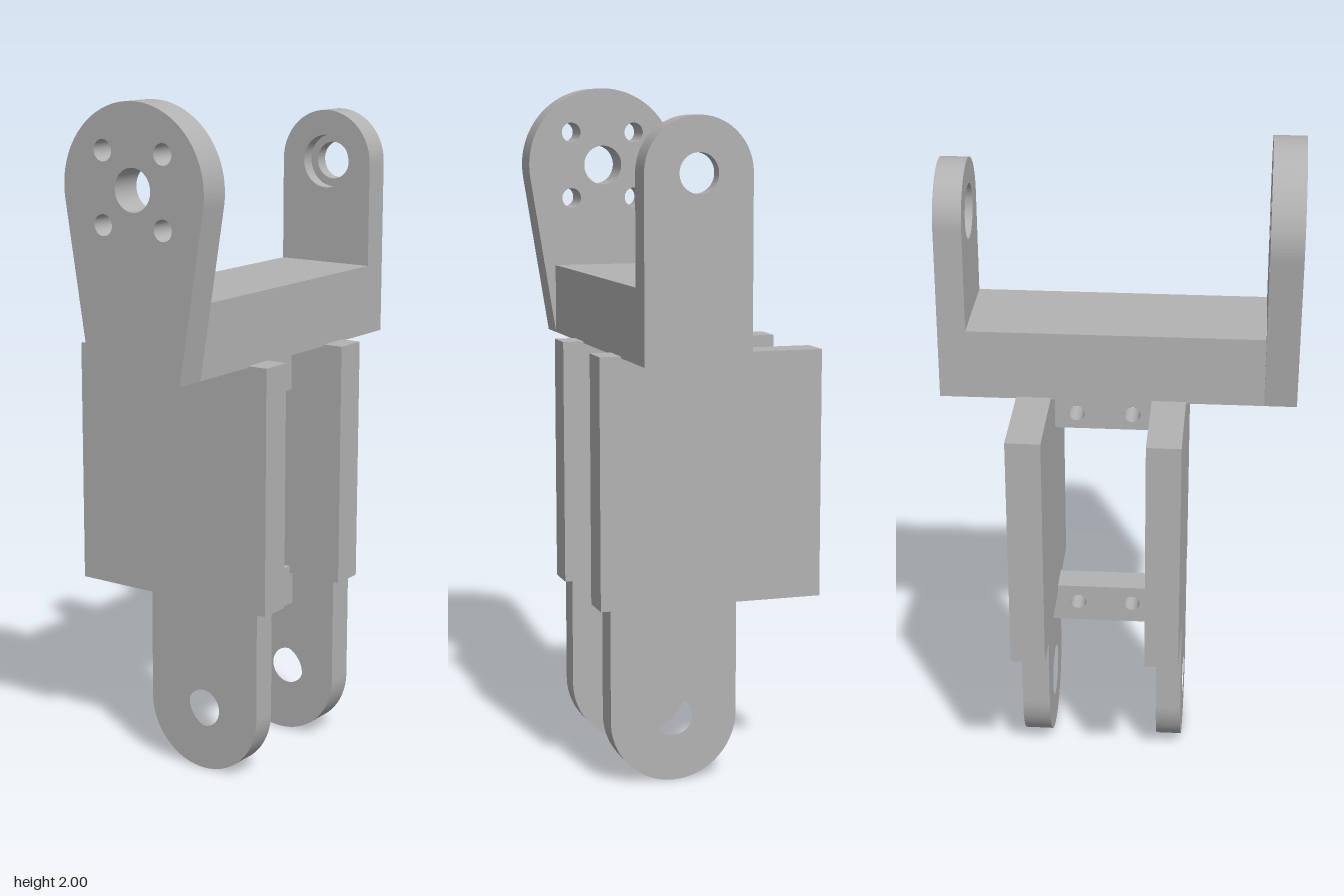
import * as THREE from 'three';

const CX = 0.105;      // centre line of the bracket arms
const PIVOT_TOP = 1.764;
const PIVOT_LOW = 0.193;

export function createModel() {
  const model = new THREE.Group();
  model.name = 'servoBracket';
  const grey = new THREE.MeshStandardMaterial({ color: 0xb2b2b2 });
  grey.name = 'plainGrey';

  function add(name, geometry) {
    const mesh = new THREE.Mesh(geometry, grey);
    mesh.name = name;
    model.add(mesh);
    return mesh;
  }

  function box(name, x0, x1, y0, y1, z0, z1) {
    add(name, new THREE.BoxGeometry(x1 - x0, y1 - y0, z1 - z0))
      .position.set((x0 + x1) / 2, (y0 + y1) / 2, (z0 + z1) / 2);
  }

  // Flat slab in the xy plane with round holes given as [x, y, radius]
  function slab(name, shape, holes, z0, z1) {
    for (const [x, y, r] of holes) {
      shape.holes.push(new THREE.Path().absarc(x, y, r, 0, Math.PI * 2, true));
    }
    const geometry = new THREE.ExtrudeGeometry(shape, { depth: z1 - z0, bevelEnabled: false, curveSegments: 40 });
    add(name, geometry).position.z = z0;
  }

  // Tongue with a rounded end: straight edge at yFlat, round end about yRound
  function tongue(yFlat, yRound, r) {
    const s = new THREE.Shape();
    const up = yRound > yFlat;
    s.moveTo(CX - r, yFlat);
    s.lineTo(CX + r, yFlat);
    s.absarc(CX, yRound, r, 0, up ? Math.PI : -Math.PI, !up);
    s.closePath();
    return s;
  }

  // Tongue in two layers, so the bore widens towards the inside of the bracket
  function steppedTongue(name, yFlat, yRound, r, zOuter, zInner) {
    const zMid = (zOuter + zInner) / 2;
    for (const [part, a, b, bore] of [['Outer', zOuter, zMid, 0.056], ['Inner', zMid, zInner, 0.08]]) {
      slab(name + part, tongue(yFlat, yRound, r), [[CX, yRound, bore]], Math.min(a, b), Math.max(a, b));
    }
  }

  // Tapered horn plate at the front, its sides tangent to the round top
  const R = 0.236, half = 0.155, base = 1.245;
  const drop = base - PIVOT_TOP;
  const t = Math.atan2(drop, half) + Math.acos(R / Math.hypot(half, drop));
  const horn = new THREE.Shape();
  horn.moveTo(CX - half, base);
  horn.lineTo(CX + half, base);
  horn.absarc(CX, PIVOT_TOP, R, t, Math.PI - t, false);
  horn.closePath();
  const hornHoles = [[CX, PIVOT_TOP, 0.06]];
  for (const sx of [-1, 1]) for (const sy of [-1, 1]) {
    hornHoles.push([CX + sx * 0.101, PIVOT_TOP + sy * 0.101, 0.03]);
  }
  slab('hornPlate', horn, hornHoles, 0.427, 0.522);

  // Bridge and rear upright arm
  box('bridge', CX - half, CX + half, base, 1.455, -0.44, 0.427);
  box('rearArmFoot', CX - half, CX + half, base, 1.455, -0.522, -0.44);
  steppedTongue('rearArm', 1.455, PIVOT_TOP, half, -0.522, -0.44);

  // Side plates with the lower pivot ears
  box('frontPlate', -0.345, 0.323, 0.52, 1.25, 0.1, 0.2);
  box('rearPlate', -0.345, 0.323, 0.52, 1.25, -0.297, -0.195);
  steppedTongue('frontEar', 0.52, PIVOT_LOW, 0.19, 0.2, 0.123);
  steppedTongue('rearEar', 0.52, PIVOT_LOW, 0.19, -0.297, -0.212);

  // Drilled cross bars joining the plates, extruded along x
  function crossBar(name, y0, y1, zBack, zFront, holeY) {
    const s = new THREE.Shape();
    s.moveTo(-zFront, y0);
    s.lineTo(-zBack, y0);
    s.lineTo(-zBack, y1);
    s.lineTo(-zFront, y1);
    s.closePath();
    for (const z of [0.037, -0.13]) {
      s.holes.push(new THREE.Path().absarc(-z, holeY, 0.024, 0, Math.PI * 2, true));
    }
    const geometry = new THREE.ExtrudeGeometry(s, { depth: 0.092, bevelEnabled: false, curveSegments: 24 });
    geometry.rotateY(Math.PI / 2);
    add(name, geometry).position.x = 0.055;
  }
  crossBar('upperCrossBar', 1.1, 1.245, -0.195, 0.1, 1.15);
  crossBar('lowerCrossBar', 0.42, 0.542, -0.212, 0.123, 0.486);

  return model;
}
